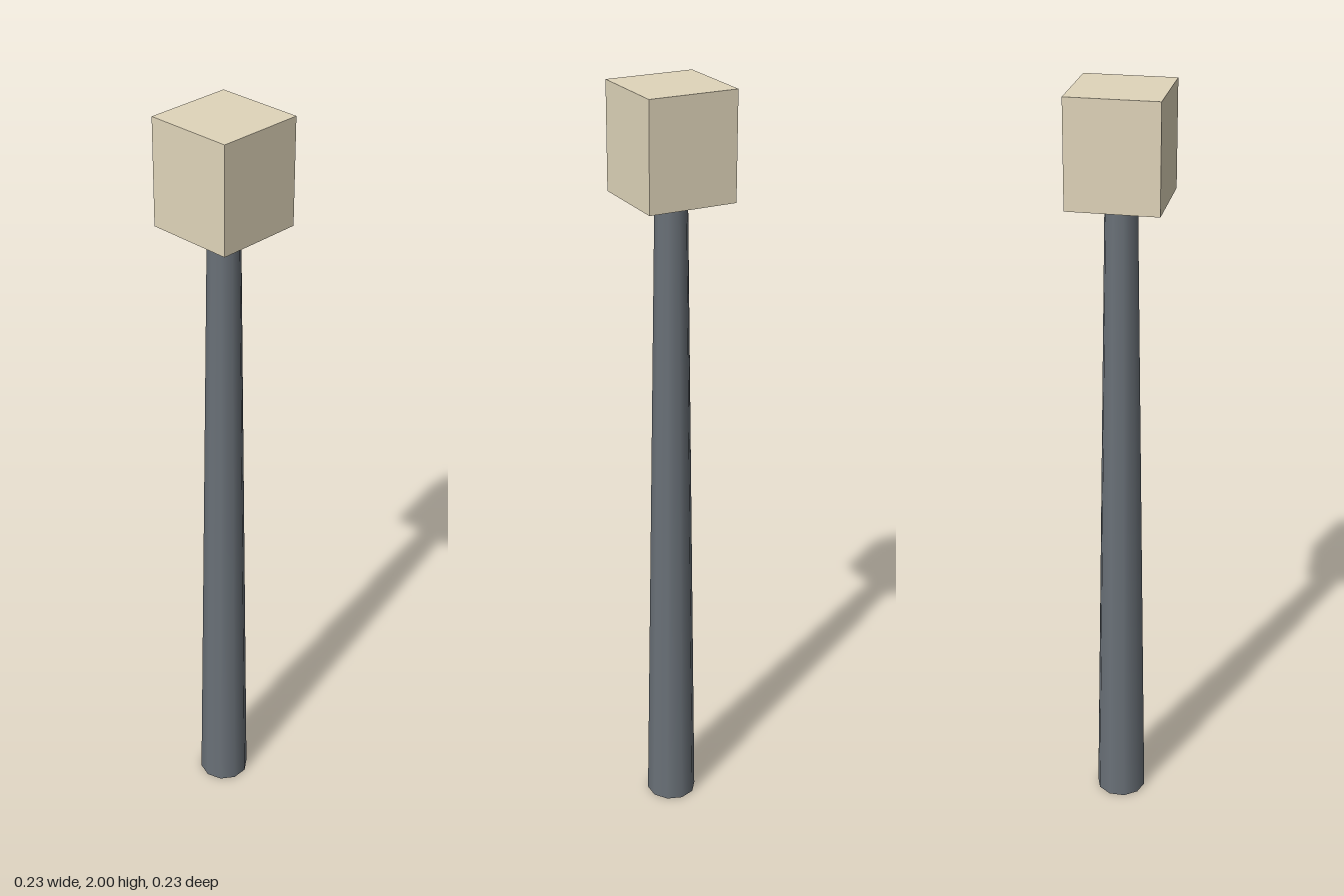
import * as THREE from 'three';

const POLE_HEIGHT = 1.73;
const HEAD_WIDTH = 0.23;
const HEAD_HEIGHT = 0.27;

export function createModel() {
  const group = new THREE.Group();
  group.name = 'lampPost';

  const add = (name, geometry, color, y) => {
    const mesh = new THREE.Mesh(geometry, new THREE.MeshStandardMaterial({ color }));
    mesh.name = name;
    mesh.position.y = y;
    group.add(mesh);
  };

  // Tapered ten-sided pole
  add('pole', new THREE.CylinderGeometry(0.041, 0.067, POLE_HEIGHT, 10), 0x6a7178, POLE_HEIGHT / 2);

  // Box-shaped lamp head resting on the pole
  add('lampHead', new THREE.BoxGeometry(HEAD_WIDTH, HEAD_HEIGHT, HEAD_WIDTH), 0xe0d5ba, POLE_HEIGHT + HEAD_HEIGHT / 2);

  return group;
}
